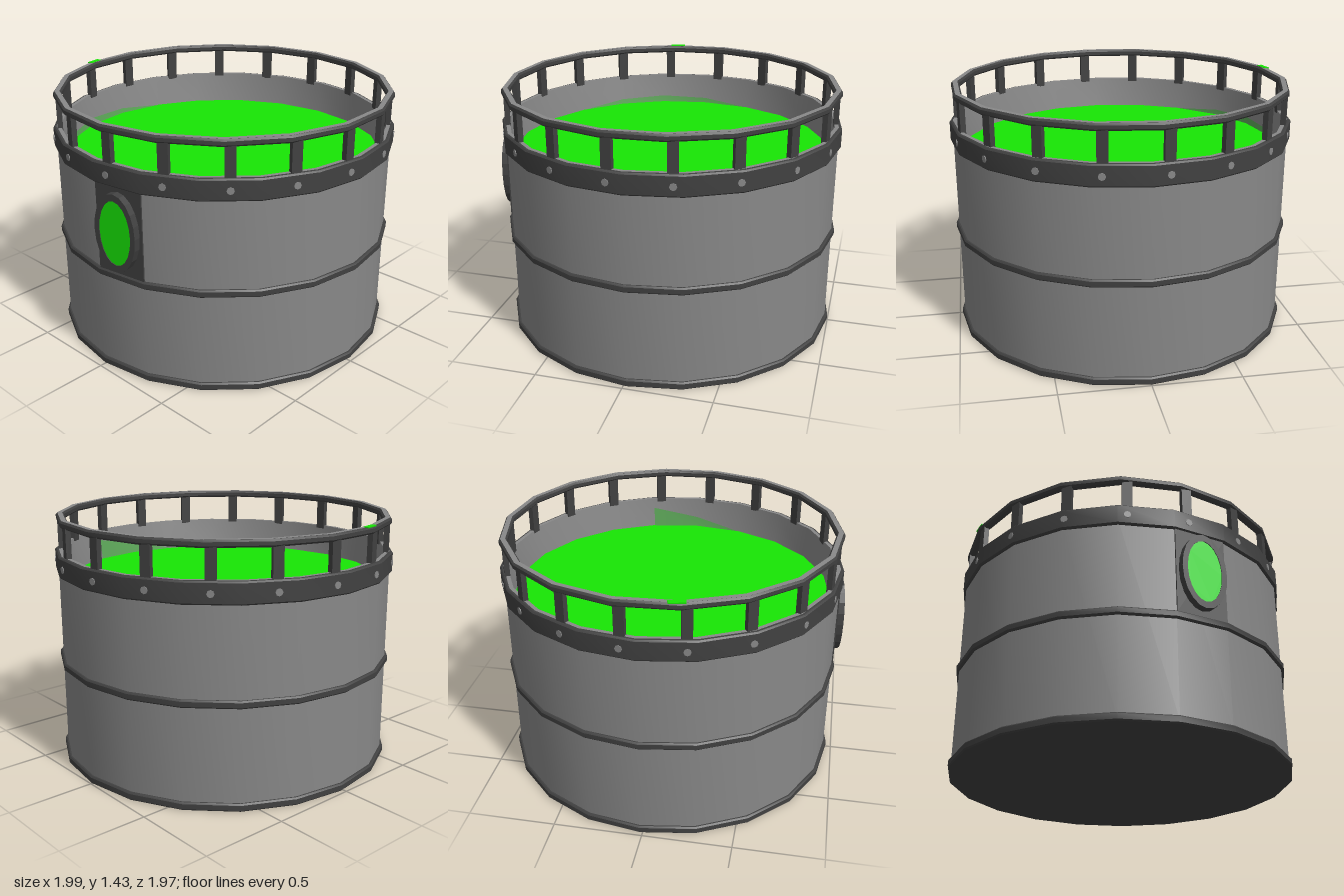
import * as THREE from 'three';
import { toCreasedNormals } from 'three/addons/utils/BufferGeometryUtils.js';

const DEG = Math.PI / 180;

export function createModel() {
  const model = new THREE.Group();
  model.name = 'liquidVat';

  const material = (name, color) => {
    const m = new THREE.MeshStandardMaterial({ color });
    m.name = name;
    return m;
  };
  const steel = material('grey steel', 0x888888);
  const iron = material('dark iron', 0x414141);
  const slime = material('green liquid', 0x18e604);
  const film = material('thin green film', 0x5ca658);

  const add = (name, geometry, mat, parent = model) => {
    const mesh = new THREE.Mesh(geometry, mat);
    mesh.name = name;
    parent.add(mesh);
    return mesh;
  };

  // Turned part: profile runs upward on the outside, so faces point outward
  const turned = (name, points, mat, sides = 20, start = 0) => {
    const profile = points.map(([r, y]) => new THREE.Vector2(r, y));
    const geometry = new THREE.LatheGeometry(profile, sides, start);
    return add(name, toCreasedNormals(geometry, 0.5), mat);
  };

  // Hoop with small bevels on its outer edges
  const hoopRadius = 0.983;
  const hoop = (name, inner, y0, y1) => turned(name, [
    [inner, y0], [hoopRadius - 0.008, y0], [hoopRadius, y0 + 0.008],
    [hoopRadius, y1 - 0.008], [hoopRadius - 0.008, y1], [inner, y1],
  ], iron);

  // Tank shell, liner and liquid
  const linerRadius = (y) => 0.915 + (y - 1.03) * 0.136;
  turned('tankWall', [[0.967, 0.02], [0.967, 1.15]], steel);
  turned('innerWall', [[linerRadius(1.232), 1.232], [linerRadius(1.03), 1.03]], steel);
  const liquid = add('liquidSurface', new THREE.CircleGeometry(0.925, 20), slime);
  liquid.rotation.x = -Math.PI / 2;
  liquid.position.y = 1.05;
  const base = add('tankBase', new THREE.CircleGeometry(0.977, 20), iron);
  base.rotation.x = Math.PI / 2;
  base.position.y = 0.001;

  // Liquid stains on the liner, one height for each wall corner
  const stain = (firstCorner, heights) => {
    const ends = [new THREE.Vector2(1, 1), new THREE.Vector2(linerRadius(1.04) - 0.004, 1.04)];
    const sides = heights.length - 1;
    const geometry = new THREE.LatheGeometry(ends, sides, firstCorner * 18 * DEG, sides * 18 * DEG);
    const p = geometry.attributes.position;
    heights.forEach((y, i) => {
      const r = linerRadius(y) - 0.004;
      p.setXYZ(i * 2, p.getX(i * 2) * r, y, p.getZ(i * 2) * r);
    });
    geometry.computeVertexNormals();
    add('linerStain', geometry, film);
  };
  stain(-1, [1.05, 1.11, 1.17]);
  stain(9, [1.05, 1.08, 1.09, 1.08, 1.05]);

  // Reinforcing hoops and the bright inner lip
  hoop('bottomHoop', 0.95, 0, 0.045);
  hoop('middleHoop', 0.95, 0.572, 0.615);
  hoop('rimBand', 0.943, 1.11, 1.23);
  turned('rimLip', [[0.965, 1.232], [linerRadius(1.232), 1.232]], steel);

  // Handrail with a worn bright top
  const railStart = 13 * DEG;
  turned('handrail', [
    [0.935, 1.39], [0.961, 1.39], [0.971, 1.4], [0.971, 1.42], [0.961, 1.43],
    [0.935, 1.43], [0.925, 1.42], [0.925, 1.4], [0.935, 1.39],
  ], iron, 18, railStart);
  turned('handrailTop', [[0.962, 1.431], [0.934, 1.431]], steel, 18, railStart);

  // Splash of liquid on the handrail
  const splash = add('railSplash', new THREE.BoxGeometry(0.09, 0.006, 0.03), slime);
  splash.position.set(0.95 * Math.sin(192 * DEG), 1.431, 0.95 * Math.cos(192 * DEG));
  splash.rotation.y = 192 * DEG;

  // Posts, and flat rivets lying on the facets of the rim band
  const postGeometry = new THREE.BoxGeometry(0.057, 0.19, 0.03);
  const rivetGeometry = new THREE.CylinderGeometry(0.02, 0.02, 0.008, 8).rotateX(Math.PI / 2);
  for (let i = 0; i < 18; i++) {
    const angle = 15 + i * 20;
    const a = angle * DEG;
    const post = add('railPost', postGeometry, iron);
    post.position.set(0.944 * Math.sin(a), 1.31, 0.944 * Math.cos(a));
    post.rotation.y = a;

    const facet = (Math.floor(angle / 18) + 0.5) * 18 * DEG;
    const r = hoopRadius * Math.cos(9 * DEG) / Math.cos(a - facet);
    const rivet = add('rivet', rivetGeometry, steel);
    rivet.position.set(r * Math.sin(a), 1.168, r * Math.cos(a));
    rivet.rotation.y = facet;
  }

  // Oval sight window on its backing plate, local z pointing outward
  const sight = new THREE.Group();
  sight.name = 'sightWindow';
  sight.rotation.y = -81 * DEG;
  model.add(sight);
  const plate = add('windowPlate', new THREE.BoxGeometry(0.3, 0.5, 0.02), iron, sight);
  plate.position.set(0, 0.862, 0.953);

  const ring = new THREE.Shape().absellipse(0, 0, 0.135, 0.222, 0, Math.PI * 2);
  ring.holes.push(new THREE.Path().absellipse(0, 0, 0.104, 0.183, 0, Math.PI * 2));
  const frame = add('windowFrame', new THREE.ExtrudeGeometry(ring, {
    depth: 0.05, bevelEnabled: false, curveSegments: 10,
  }), iron, sight);
  frame.position.set(0, 0.867, 0.953);

  const oval = new THREE.Shape().absellipse(0, 0, 0.106, 0.186, 0, Math.PI * 2);
  const glass = add('windowGlass', new THREE.ShapeGeometry(oval, 10), slime, sight);
  glass.position.set(0, 0.867, 0.999);

  model.position.x = 0.015;
  const root = new THREE.Group();
  root.name = 'vat';
  root.add(model);
  return root;
}
